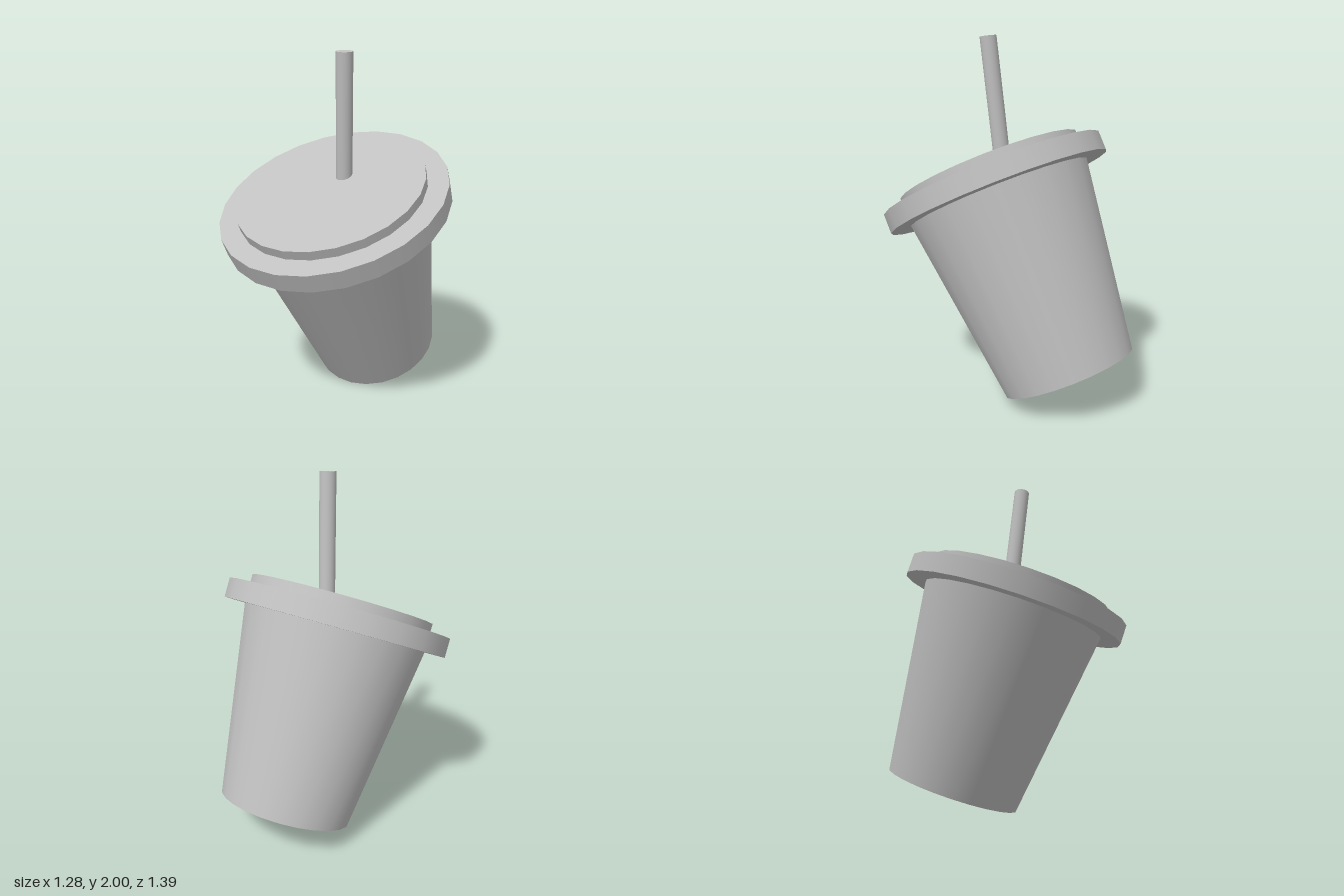
import * as THREE from 'three';

export function createModel() {
  const model = new THREE.Group();
  model.name = 'takeawayCup';

  const grey = new THREE.MeshStandardMaterial({ color: 0xc0c0c0 });
  grey.name = 'plain grey';

  const SIDES = 24;

  // Closed round section running from height y0 to y1 on its parent's axis
  function roundPart(parent, name, rBottom, rTop, y0, y1) {
    const geometry = new THREE.CylinderGeometry(rTop, rBottom, y1 - y0, SIDES);
    const mesh = new THREE.Mesh(geometry, grey);
    mesh.name = name;
    mesh.position.y = (y0 + y1) / 2;
    parent.add(mesh);
  }

  // Tilted cup with its lid; the origin is the centre of the base
  const cup = new THREE.Group();
  cup.name = 'cupAndLid';
  cup.position.set(0.255, 0.167, -0.345);
  cup.rotation.set(0.379, 0, 0.25, 'ZYX');
  roundPart(cup, 'cupBody', 0.378, 0.535, 0, 1.07);
  roundPart(cup, 'lidRim', 0.65, 0.65, 1.068, 1.177);
  roundPart(cup, 'lidTop', 0.535, 0.535, 1.17, 1.231);
  model.add(cup);

  // Straw, leaning slightly forward, ending just inside the lid
  const straw = new THREE.Group();
  straw.name = 'strawGroup';
  straw.position.set(0.053, 1.995, 0.108);
  straw.rotation.x = 0.112;
  roundPart(straw, 'straw', 0.046, 0.046, -0.72, 0);
  model.add(straw);

  return model;
}
